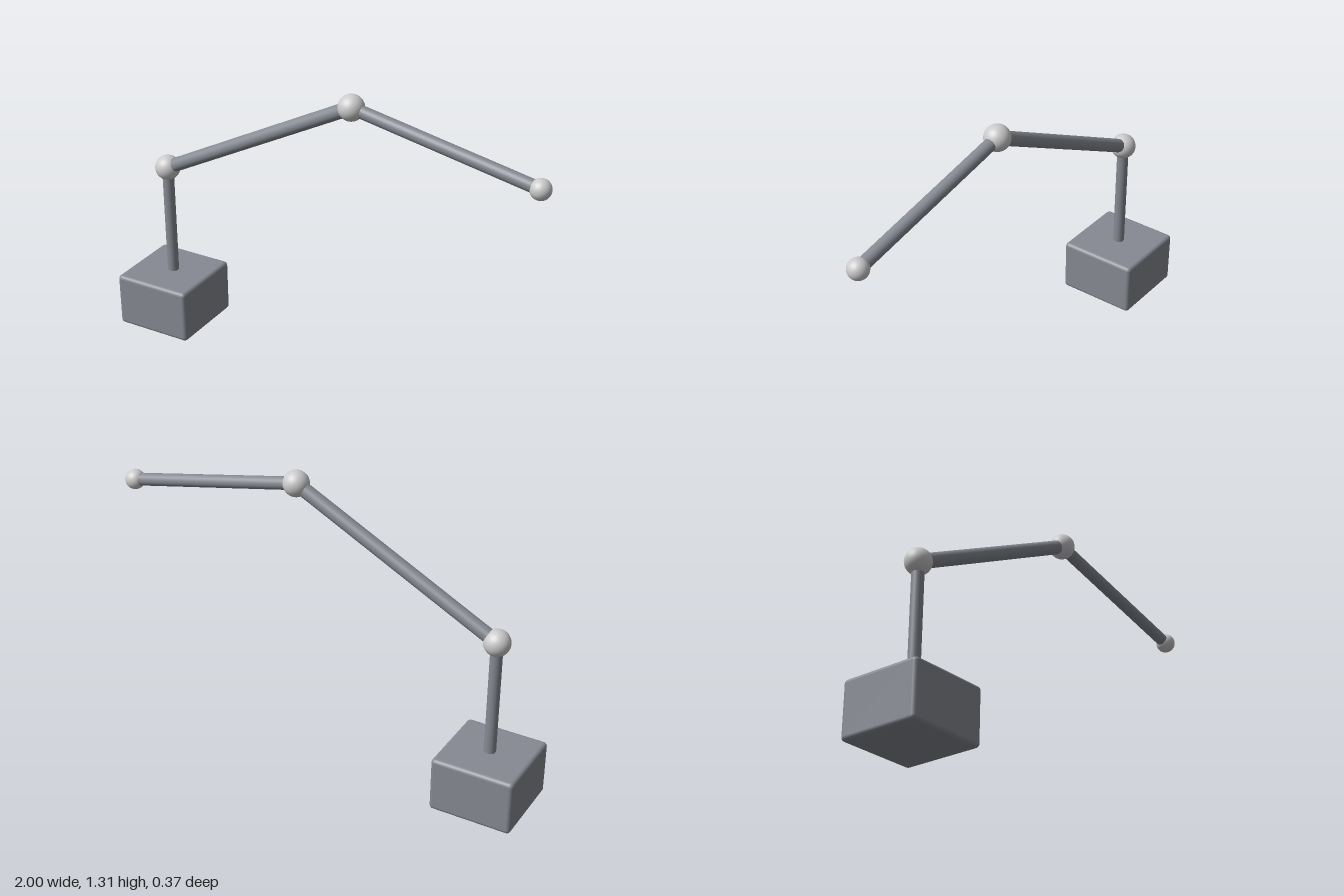
import * as THREE from 'three';
import { RoundedBoxGeometry } from 'three/addons/geometries/RoundedBoxGeometry.js';

export function createModel() {
  const model = new THREE.Group();
  model.name = 'jointedArm';
  const linkMaterial = new THREE.MeshStandardMaterial({ color: 0x868a92 });
  const jointMaterial = new THREE.MeshStandardMaterial({ color: 0xcccccc });

  const add = (name, geometry, material, position) => {
    const mesh = new THREE.Mesh(geometry, material);
    mesh.name = name;
    mesh.position.copy(position);
    model.add(mesh);
    return mesh;
  };

  // Joint centres along the arm
  const foot = new THREE.Vector3(-0.815, 0.24, 0);
  const shoulder = new THREE.Vector3(-0.815, 0.77, 0);
  const elbow = new THREE.Vector3(0.12, 1.253, 0);
  const tip = new THREE.Vector3(0.955, 1.086, 0);

  // Round bar between two joint centres
  const addLink = (name, from, to, radius) => {
    const along = to.clone().sub(from);
    const geometry = new THREE.CylinderGeometry(radius, radius, along.length(), 32);
    const middle = from.clone().add(to).multiplyScalar(0.5);
    const link = add(name, geometry, linkMaterial, middle);
    link.quaternion.setFromUnitVectors(new THREE.Vector3(0, 1, 0), along.normalize());
  };

  const addJoint = (name, centre, radius) =>
    add(name, new THREE.SphereGeometry(radius, 32, 24), jointMaterial, centre);

  // Base block with softened edges
  add('base', new RoundedBoxGeometry(0.37, 0.25, 0.37, 4, 0.018), linkMaterial,
    new THREE.Vector3(-0.815, 0.125, 0));

  // Post and arm
  addLink('post', foot, shoulder, 0.026);
  addLink('upperArm', shoulder, elbow, 0.031);
  addLink('forearm', elbow, tip, 0.028);

  // Ball joints
  addJoint('shoulderJoint', shoulder, 0.057);
  addJoint('elbowJoint', elbow, 0.057);
  addJoint('tipBall', tip, 0.045);

  return model;
}
